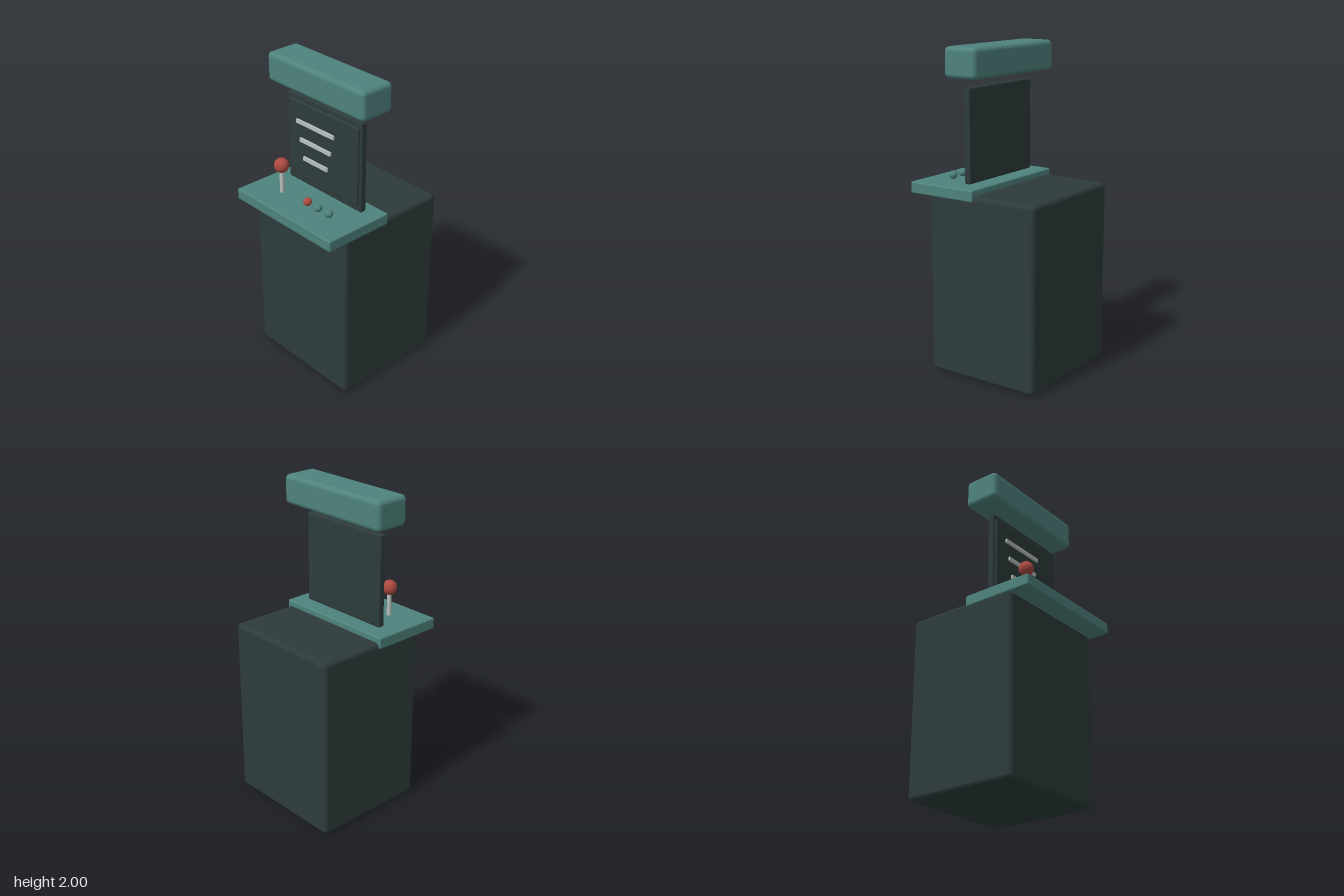
import * as THREE from 'three';
import { RoundedBoxGeometry } from 'three/addons/geometries/RoundedBoxGeometry.js';

const material = (name, color) => {
  const m = new THREE.MeshStandardMaterial({ color });
  m.name = name;
  return m;
};

export function createModel() {
  const group = new THREE.Group();
  group.name = 'arcadeCabinet';

  const dark = material('charcoal', 0x2e3b3b);
  const teal = material('teal', 0x4f837d);
  const red = material('red', 0xac4a40);
  const grey = material('light grey', 0xb9bfbf);

  const add = (name, geometry, mat, x, y, z) => {
    const mesh = new THREE.Mesh(geometry, mat);
    mesh.name = name;
    mesh.position.set(x, y, z);
    group.add(mesh);
  };

  // Rounded box given by its centre x, width and its y and z ranges
  const box = (name, mat, x, w, [y0, y1], [z0, z1], r) =>
    add(name, new RoundedBoxGeometry(w, y1 - y0, z1 - z0, 3, r), mat, x, (y0 + y1) / 2, (z0 + z1) / 2);

  // Body, control deck and marquee
  box('cabinet', dark, 0, 0.808, [0, 1.145], [-0.444, 0.31], 0.03);
  box('controlDeck', teal, 0, 0.83, [1.11, 1.182], [-0.02, 0.443], 0.01);
  box('marquee', teal, 0, 0.808, [1.816, 2], [-0.042, 0.187], 0.03);

  // Screen: frame with a raised display
  box('screenFrame', dark, 0, 0.632, [1.19, 1.762], [0.066, 0.108], 0.01);
  box('display', dark, 0, 0.6, [1.232, 1.73], [0.09, 0.122], 0.012);

  // Lines on the display
  [[1.605, 0.322], [1.49, 0.266], [1.375, 0.208]].forEach(([y, w], i) =>
    add(`displayLine${i + 1}`, new THREE.BoxGeometry(w, 0.025, 0.014), grey, -0.053, y, 0.127));

  // Joystick
  add('joystickShaft', new THREE.CylinderGeometry(0.014, 0.014, 0.18, 16), grey, -0.198, 1.265, 0.269);
  add('joystickBall', new THREE.SphereGeometry(0.046, 24, 16), red, -0.198, 1.363, 0.269);

  // Buttons
  [red, teal, teal].forEach((mat, i) =>
    add(`button${i + 1}`, new THREE.SphereGeometry(0.026, 20, 14), mat, 0.033 + i * 0.093, 1.211, 0.269));

  return group;
}
